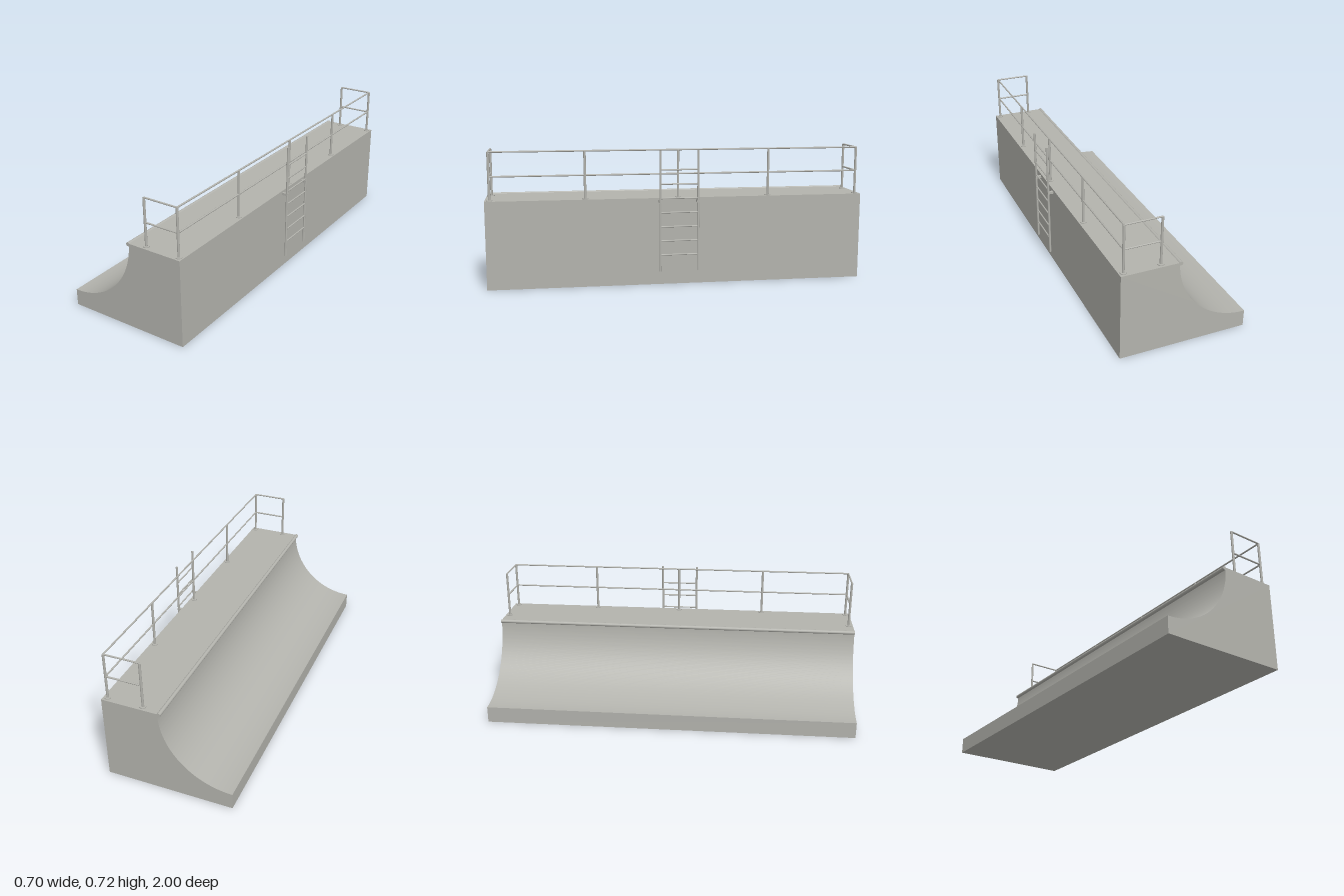
import * as THREE from 'three';
import { toCreasedNormals } from 'three/addons/utils/BufferGeometryUtils.js';

const DECK = 0.463, BACK = 0.319, FRONT = -0.353, RADIUS = 0.375;

export function createModel() {
  const model = new THREE.Group();
  model.name = 'quarterPipe';
  const concrete = new THREE.MeshStandardMaterial({ color: 0xb3b3ad });
  concrete.name = 'warm grey';

  const add = (parent, name, geometry, x = 0, y = 0, z = 0) => {
    const mesh = new THREE.Mesh(geometry, concrete);
    mesh.name = name;
    mesh.position.set(x, y, z);
    parent.add(mesh);
    return mesh;
  };
  // Round bar between two points
  const bar = (parent, name, a, b, r, sides = 10) => {
    const start = new THREE.Vector3(...a), end = new THREE.Vector3(...b);
    const dir = end.clone().sub(start);
    const mesh = add(parent, name, new THREE.CylinderGeometry(r, r, dir.length(), sides));
    mesh.position.copy(start).add(end).multiplyScalar(0.5);
    mesh.quaternion.setFromUnitVectors(new THREE.Vector3(0, 1, 0), dir.normalize());
    return mesh;
  };
  const group = (name) => {
    const g = new THREE.Group();
    g.name = name;
    model.add(g);
    return g;
  };

  // Ramp body: side profile with a concave quarter circle
  const profile = new THREE.Shape();
  profile.moveTo(FRONT, 0);
  profile.lineTo(BACK, 0);
  profile.lineTo(BACK, DECK);
  profile.lineTo(FRONT + RADIUS, DECK);
  profile.absarc(FRONT, DECK, RADIUS, 0, -Math.PI / 2, true);
  profile.closePath();
  const body = new THREE.ExtrudeGeometry(profile, { depth: 2, bevelEnabled: false, curveSegments: 40 });
  body.translate(0, 0, -1);
  add(model, 'rampBody', toCreasedNormals(body, 0.4));

  // Coping pipe along the lip
  bar(model, 'coping', [0.016, 0.458, -1], [0.016, 0.458, 1], 0.01, 20);

  // Guard rail around the back and both ends of the deck
  const guard = group('guardRail');
  const railX = 0.296, endX = 0.108, endZ = 0.975, top = 0.714;
  const posts = [-2, -1, 0, 1, 2].map((i) => [railX, i * endZ / 2]);
  posts.push([endX, -endZ], [endX, endZ]);
  for (const [x, z] of posts) {
    bar(guard, 'post', [x, DECK, z], [x, top, z], 0.0065);
    add(guard, 'postFoot', new THREE.CylinderGeometry(0.016, 0.016, 0.004, 16), x, DECK + 0.002, z);
  }
  for (const [name, y] of [['topRail', top], ['middleRail', 0.588]]) {
    bar(guard, name, [railX, y, -endZ], [railX, y, endZ], 0.0045);
    for (const z of [-endZ, endZ]) bar(guard, name, [endX, y, z], [railX, y, z], 0.0045);
  }

  // Ladder on the back wall
  const ladder = group('ladder');
  const ladderX = 0.345, half = 0.1;
  for (const z of [-half, half]) {
    bar(ladder, 'ladderRail', [ladderX, 0.075, z], [ladderX, top, z], 0.006);
    add(ladder, 'wallBracket', new THREE.BoxGeometry(0.032, 0.013, 0.013), BACK + 0.015, 0.446, z);
  }
  for (let i = 0; i < 7; i++) {
    const y = 0.164 + i * 0.075;
    bar(ladder, 'rung', [ladderX, y, -half], [ladderX, y, half], 0.004);
  }

  return model;
}
